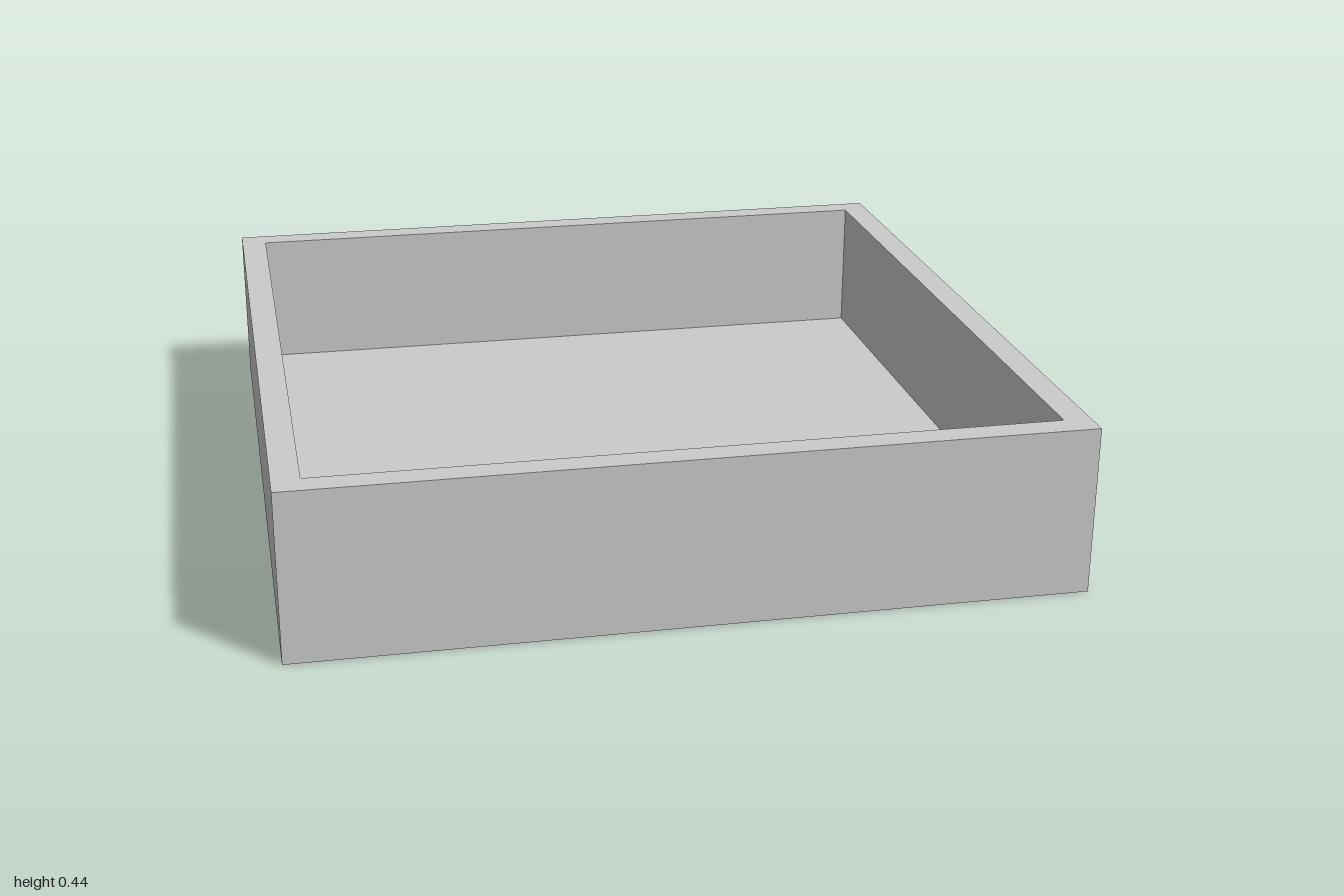
import * as THREE from 'three';

const HALF = 1, HEIGHT = 0.44, WALL = 0.07, FLOOR = 0.07;

export function createModel() {
  const group = new THREE.Group();
  group.name = 'openTray';

  // Cross-section from the centre of the underside, over the rim, to the centre of the floor
  const inner = HALF - WALL;
  const profile = [
    [0, 0], [HALF, 0], [HALF, HEIGHT], [inner, HEIGHT], [inner, FLOOR], [0, FLOOR],
  ].map(([halfWidth, y]) => new THREE.Vector2(halfWidth * Math.SQRT2, y));

  // Four-sided turn, started on a corner, gives a square tray with mitred walls
  const geometry = new THREE.LatheGeometry(profile, 4, Math.PI / 4).toNonIndexed();
  geometry.computeVertexNormals();

  const tray = new THREE.Mesh(
    geometry,
    new THREE.MeshStandardMaterial({ color: 0xcccccc, flatShading: true }),
  );
  tray.name = 'tray';
  group.add(tray);
  return group;
}
